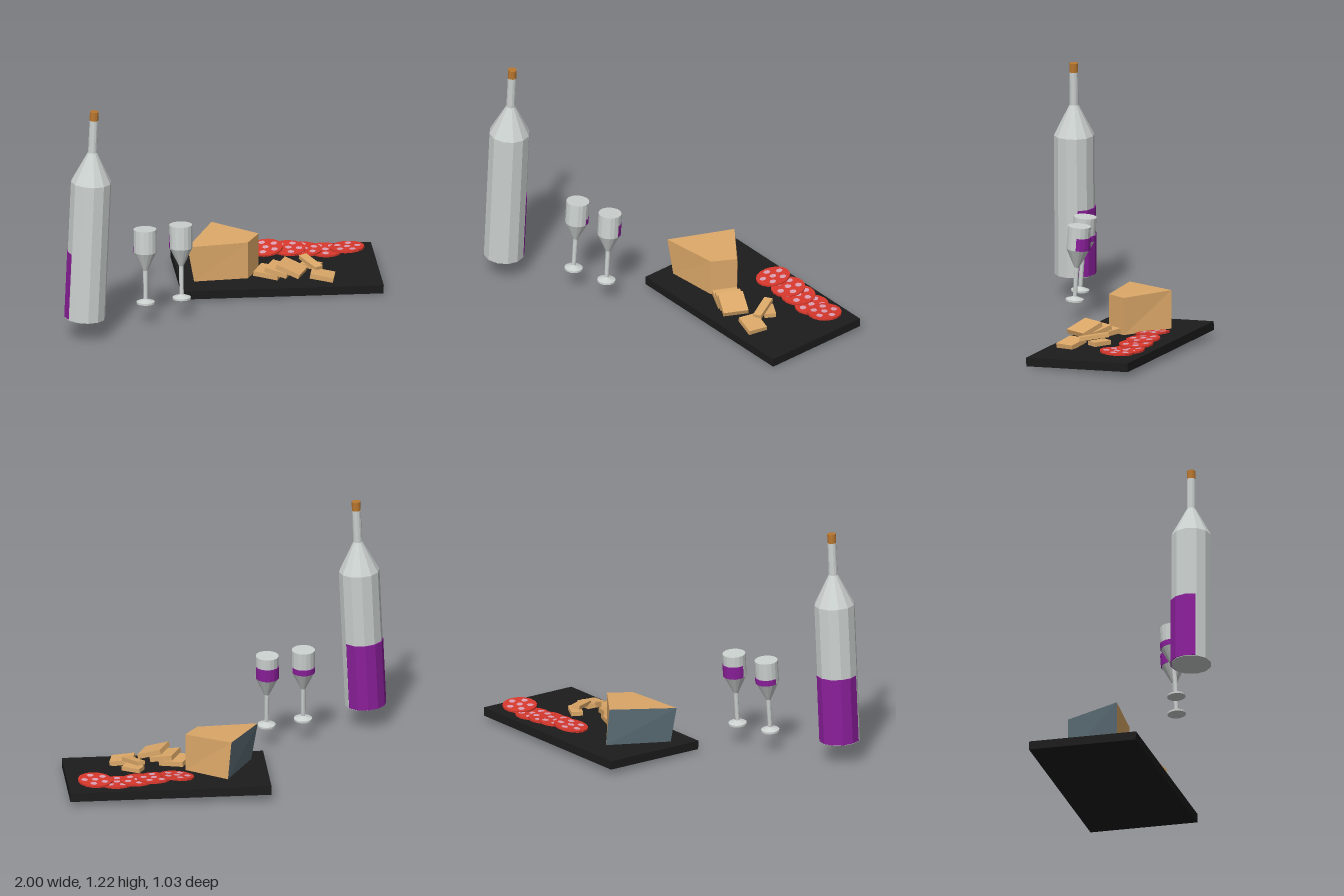
import * as THREE from 'three';

const mat = (color, extra = {}) => new THREE.MeshStandardMaterial({ color, flatShading: true, ...extra });
const glassMat = mat(0xccd2d0), wineMat = mat(0x8b1f9b), corkMat = mat(0xb9772f);
const boardMat = mat(0x1c1c1c), cheeseMat = mat(0xdca868), rindMat = mat(0x5f717b);
const meatMat = mat(0xd9382c), fatMat = mat(0xdca0b4);
const UP = new THREE.Vector3(0, 1, 0);

function add(parent, name, geometry, material, pos = [0, 0, 0], rot = [0, 0, 0]) {
  const mesh = new THREE.Mesh(geometry, material);
  mesh.name = name;
  mesh.position.set(...pos);
  mesh.rotation.set(...rot, 'YXZ');
  parent.add(mesh);
  return mesh;
}

// Group standing on base with its y axis aimed at top
function leaningGroup(parent, name, base, top) {
  const g = new THREE.Group();
  g.name = name;
  const b = new THREE.Vector3(...base);
  g.position.copy(b);
  g.quaternion.setFromUnitVectors(UP, new THREE.Vector3(...top).sub(b).normalize());
  parent.add(g);
  return g;
}

const lathe = (points, sides) => new THREE.LatheGeometry(points.map(p => new THREE.Vector2(...p)), sides);

function makeBottle(parent) {
  const g = leaningGroup(parent, 'bottle', [-0.895, 0.115, 0.07], [-0.845, 1.22, 0.083]);
  add(g, 'bottleBody', lathe([[0, 0], [0.104, 0], [0.104, 0.73], [0.023, 0.888], [0.022, 1.06], [0, 1.06]], 12), glassMat);
  // Wine sits slightly off-centre and shows through the back
  add(g, 'bottleWine', new THREE.CylinderGeometry(0.104, 0.104, 0.35, 12), wineMat, [0.001, 0.178, -0.006]);
  add(g, 'cork', new THREE.CylinderGeometry(0.0225, 0.0225, 0.047, 12), corkMat, [0, 1.083, 0]);
}

function makeGlass(parent, base, top, wineHeight) {
  const g = leaningGroup(parent, 'wineGlass', base, top);
  add(g, 'glassBody', lathe([[0, 0], [0.047, 0], [0.047, 0.01], [0.022, 0.019], [0.011, 0.024],
    [0.012, 0.175], [0.059, 0.272], [0.059, 0.392], [0, 0.392]], 16), glassMat);
  add(g, 'glassWine', new THREE.CylinderGeometry(0.059, 0.059, wineHeight, 16), wineMat,
    [0.001, 0.272 + wineHeight / 2, -0.004]);
}

function makeBoard(parent) {
  const g = leaningGroup(parent, 'servingBoard', [0.415, 0.0405, 0], [0.3998, 1.0405, 0.042]);
  add(g, 'board', new THREE.BoxGeometry(1.025, 0.045, 0.57), boardMat, [0, 0, 0], [0, -0.564, 0]);
}

function facesGeometry(triangles) {
  const geo = new THREE.BufferGeometry();
  geo.setAttribute('position', new THREE.Float32BufferAttribute(triangles.flat(), 3));
  geo.computeVertexNormals();
  return geo;
}

// Blunt-tipped cheese wedge: four corners, tip, right, back, left
function makeWedge(parent) {
  const top = [[0.20, 0.252, 0.03], [0.32, 0.256, -0.03], [0.22, 0.268, -0.288], [-0.08, 0.25, -0.11]];
  const bottom = [[0.20, 0.058, 0.03], [0.32, 0.062, -0.03], [0.24, 0.07, -0.285], [-0.045, 0.058, -0.10]];
  const cut = [top[0], top[1], top[2], top[0], top[2], top[3],
    bottom[0], bottom[2], bottom[1], bottom[0], bottom[3], bottom[2]];
  const rind = [];
  for (let i = 0; i < 4; i++) {
    const j = (i + 1) % 4;
    (i === 2 ? rind : cut).push(bottom[i], bottom[j], top[j], bottom[i], top[j], top[i]);
  }
  const g = new THREE.Group();
  g.name = 'cheeseWedge';
  add(g, 'cheeseCut', facesGeometry(cut), cheeseMat);
  add(g, 'cheeseRind', facesGeometry(rind), rindMat);
  parent.add(g);
}

// Cut cheese: size, position, rotation
function makeSlices(parent) {
  const slices = [
    [[0.13, 0.025, 0.13], [0.305, 0.083, 0.075], [0.08, 0.57, 0]],
    [[0.13, 0.025, 0.12], [0.335, 0.103, 0.12], [0.2, 0.57, 0]],
    [[0.13, 0.025, 0.13], [0.368, 0.118, 0.175], [0.33, 0.57, 0]],
    [[0.10, 0.025, 0.12], [0.502, 0.072, 0.26], [0.16, 0.8, 0]],
    [[0.06, 0.022, 0.10], [0.54, 0.078, 0.12], [0, 0.5, 0]],
    [[0.045, 0.02, 0.15], [0.518, 0.105, 0.145], [0.14, -0.08, 0.05]],
  ];
  for (const [size, pos, rot] of slices) add(parent, 'cheeseSlice', new THREE.BoxGeometry(...size), cheeseMat, pos, rot);
}

// Overlapping sausage slices dotted with fat on both faces
function makeSausage(parent) {
  const slices = [
    [[0.47, 0.106, -0.16], [0.06, 0, 0.14]],
    [[0.57, 0.098, -0.10], [0.05, 0.5, 0.06]],
    [[0.64, 0.09, -0.055], [0.04, 1.1, 0.04]],
    [[0.73, 0.08, 0.0], [0.04, 0.3, 0.02]],
    [[0.82, 0.093, 0.065], [-0.05, 0.8, -0.04]],
  ];
  for (const [pos, rot] of slices) {
    const disc = add(parent, 'sausageSlice', new THREE.CylinderGeometry(0.088, 0.088, 0.01, 16), meatMat, pos, rot);
    for (let i = 0; i < 6; i++) {
      const a = i * Math.PI * 0.4, r = i === 5 ? 0 : 0.054;
      add(disc, 'fatSpot', new THREE.CylinderGeometry(0.018, 0.018, 0.012, 6), fatMat, [r * Math.cos(a), 0, r * Math.sin(a)]);
    }
  }
}

export function createModel() {
  const model = new THREE.Group();
  model.name = 'wineAndCheese';
  makeBottle(model);
  makeGlass(model, [-0.515, 0.107, 0.09], [-0.5, 0.5, 0.066], 0.03);
  makeGlass(model, [-0.322, 0.102, 0.142], [-0.31, 0.49, 0.119], 0.065);
  makeBoard(model);
  makeWedge(model);
  makeSlices(model);
  makeSausage(model);
  return model;
}
